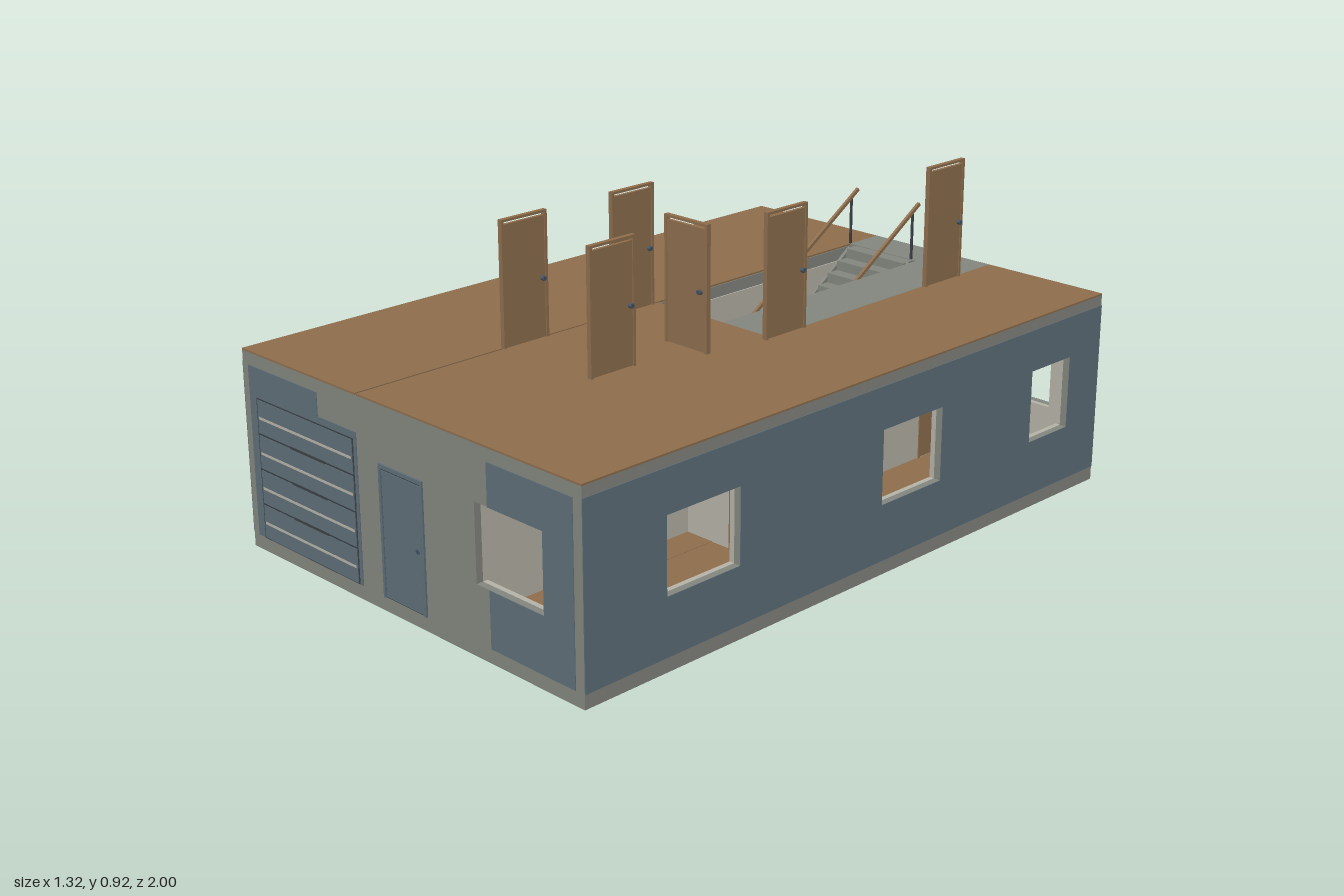
import * as THREE from 'three';

const flat = (name, color) => {
  const m = new THREE.MeshStandardMaterial({ color });
  m.name = name;
  return m;
};

export function createModel() {
  const grey = flat('wallGrey', 0x858780);
  const blue = flat('slateBlue', 0x60707a);
  const brown = flat('woodBrown', 0x8f6f4e);
  const cream = flat('plasterCream', 0xb7b4a8);
  const dark = flat('darkMetal', 0x3c4248);
  const knobBlue = flat('knobBlue', 0x48586a);

  const house = new THREE.Group();
  house.name = 'houseFloors';

  // Box given by its two corners
  function box(parent, name, mat, x0, y0, z0, x1, y1, z1) {
    const m = new THREE.Mesh(new THREE.BoxGeometry(x1 - x0, y1 - y0, z1 - z0), mat);
    m.position.set((x0 + x1) / 2, (y0 + y1) / 2, (z0 + z1) / 2);
    m.name = name;
    parent.add(m);
    return m;
  }

  // Rectangle [x0, y0, x1, y1] minus windows, as smaller rectangles
  function cut(r, holes) {
    const [h, ...rest] = holes;
    if (!h) return [r];
    const a = Math.max(r[0], h[0]), b = Math.min(r[2], h[2]);
    if (a >= b) return cut(r, rest);
    return [
      [r[0], r[1], a, r[3]], [b, r[1], r[2], r[3]],
      [a, r[1], b, h[1]], [a, h[3], b, r[3]],
    ].filter(q => q[2] - q[0] > 1e-4 && q[3] - q[1] > 1e-4).flatMap(q => cut(q, rest));
  }

  function wallLayer(parent, name, mat, half, y0, y1, z, depth, holes) {
    const s = new THREE.Shape();
    s.moveTo(-half, y0).lineTo(half, y0).lineTo(half, y1).lineTo(-half, y1).closePath();
    for (const [a, b, c, d] of holes) {
      const p = new THREE.Path();
      p.moveTo(a, b).lineTo(a, d).lineTo(c, d).lineTo(c, b).closePath();
      s.holes.push(p);
    }
    const m = new THREE.Mesh(new THREE.ExtrudeGeometry(s, { depth, bevelEnabled: false }), mat);
    m.position.z = z;
    m.name = name;
    parent.add(m);
  }

  // Outer wall: grey shell, cream lining and thin painted panels
  function outerWall(name, turn, dist, half, holes, paint) {
    const g = new THREE.Group();
    g.name = name;
    g.rotation.y = turn;
    wallLayer(g, 'shell', grey, half, 0.001, 0.56, dist - 0.02, 0.02, holes);
    wallLayer(g, 'lining', cream, half - 0.022, 0.04, 0.525, dist - 0.035, 0.015, holes);
    for (const r of paint) for (const q of cut(r, holes))
      box(g, 'paintedPanel', blue, q[0], q[1], dist, q[2], q[3], dist + 0.002);
    house.add(g);
  }
  const W = 0.66, Z = 0.995;
  outerWall('frontWall', 0, Z, W, [[0.28, 0.195, 0.525, 0.41]],
    [[-0.635, 0.04, -0.335, 0.525], [-0.335, 0.04, -0.175, 0.46], [0.33, 0.04, 0.63, 0.525]]);
  outerWall('backWall', Math.PI, Z, W,
    [[-0.525, 0.195, -0.28, 0.41], [0.34, 0.195, 0.585, 0.41]], [[-0.63, 0.04, -0.33, 0.525]]);
  outerWall('rightWall', Math.PI / 2, W, Z,
    [[-0.73, 0.2, -0.48, 0.41], [0.05, 0.2, 0.29, 0.41], [0.68, 0.2, 0.855, 0.41]],
    [[-Z, 0.04, Z, 0.53]]);
  outerWall('leftWall', -Math.PI / 2, W, Z,
    [[-0.8, 0.31, -0.68, 0.41], [-0.29, 0.2, -0.05, 0.41], [0.56, 0.28, 0.74, 0.41]],
    [[-0.25, 0.04, 0.33, 0.53], [0.665, 0.04, Z, 0.53]]);

  // Ground floor
  box(house, 'baseSlab', grey, -W, 0, -Z, W, 0.034, Z);
  box(house, 'leftGroundFloor', brown, -0.64, 0.034, -0.97, -0.17, 0.04, 0.97);
  box(house, 'rightGroundFloor', brown, 0.26, 0.034, -0.97, 0.64, 0.04, 0.97);
  box(house, 'hallGroundFloor', grey, -0.17, 0.034, -0.97, 0.26, 0.04, 0.97);
  box(house, 'frontRoomFloor', brown, 0.165, 0.035, 0.165, 0.26, 0.041, 0.97);

  // Inner walls
  for (const [x0, z0, x1, z1] of [
    [-0.17, -0.97, -0.17, 0.97], [0.26, -0.97, 0.26, 0.165], [0.165, 0.165, 0.165, 0.97],
    [0.165, 0.165, 0.64, 0.165], [-0.64, 0.33, -0.17, 0.33],
  ]) box(house, 'innerWall', cream, x0 - 0.004, 0.04, z0 - 0.004, x1 + 0.004, 0.525, z1 + 0.004);

  // Upper slab around the stairwell, then its coverings
  const slab = (x0, z0, x1, z1) => box(house, 'upperSlab', grey, x0, 0.525, z0, x1, 0.56, z1);
  slab(-0.645, -0.98, -0.17, 0.98);
  slab(0.085, -0.98, 0.645, 0.98);
  slab(-0.17, -0.05, 0.085, 0.98);
  slab(-0.17, -0.98, 0.085, -0.87);
  const cover = (name, mat, x0, z0, x1, z1) => box(house, name, mat, x0, 0.56, z0, x1, 0.565, z1);
  cover('leftUpperFloor', brown, -W, -Z, -0.173, Z);
  cover('rightUpperFloor', brown, 0.26, -Z, W, Z);
  cover('middleUpperFloor', brown, -0.167, -0.05, 0.26, Z);
  cover('landing', grey, 0.085, -Z, 0.26, -0.05);
  cover('stairHead', grey, -0.173, -Z, 0.085, -0.87);

  // Stairs climbing to the back
  const stairs = new THREE.Group();
  stairs.name = 'stairs';
  const steps = 18, run = 0.0425, rise = 0.525 / steps;
  for (let i = 0; i < steps; i++) {
    const z = -0.1 - i * run, y = 0.04 + (i + 1) * rise;
    box(stairs, 'step', grey, -0.145, y - rise, z - run, 0.075, y, z);
  }
  const slope = Math.atan2(0.525, steps * run);
  for (const x of [-0.15, 0.078]) {
    const s = box(stairs, 'stringer', grey, x - 0.005, 0, 0, x + 0.005, 0.04, 0.9);
    s.position.set(x, 0.295, -0.48);
    s.rotation.x = slope;
  }
  // Handrails and their posts
  const railY = z => 0.565 + 0.645 * (-0.61 - z);
  for (const x of [-0.155, 0.082]) {
    const rail = box(stairs, 'handrail', brown, 0, 0, 0, 0.009, 0.01, 0.96);
    rail.position.set(x, railY(-0.475), -0.475);
    rail.rotation.x = Math.atan(0.645);
    for (const z of [-0.12, -0.363, -0.606, -0.85])
      box(stairs, 'railPost', dark, x - 0.003, railY(z) - 0.145, z - 0.003, x + 0.003, railY(z), z + 0.003);
  }
  house.add(stairs);

  function knob(parent, x, y, reach, z = 0) {
    for (const [r, len, mat] of [[0.003, reach * 2, dark], [0.007, 0.01, knobBlue]])
      for (const s of len === 0.01 ? [-1, 1] : [1]) {
        const k = new THREE.Mesh(new THREE.CylinderGeometry(r, r, len, 12), mat);
        k.rotation.x = Math.PI / 2;
        k.position.set(x, y, len === 0.01 ? z + s * (reach - 0.005) : z);
        k.name = 'knob';
        parent.add(k);
      }
  }

  // Inner doors with frame; the turned ones have the knob to the back
  function door(x, y, z, turned) {
    const g = new THREE.Group();
    g.name = 'innerDoor';
    for (const s of [-1, 1])
      box(g, 'doorPost', brown, s * 0.074 - 0.004, 0, -0.007, s * 0.074 + 0.004, 0.35, 0.007);
    box(g, 'doorHeader', brown, -0.07, 0.343, -0.007, 0.07, 0.35, 0.007);
    box(g, 'doorLeaf', brown, -0.069, 0.002, -0.005, 0.069, 0.336, 0.005);
    knob(g, 0.057, 0.167, 0.018);
    g.position.set(x, y, z);
    if (turned) g.rotation.y = Math.PI / 2;
    house.add(g);
  }
  for (const [x, z] of [[0.265, -0.765], [0.265, -0.1], [-0.17, 0.047], [-0.17, 0.437], [0.165, 0.437]])
    door(x, 0.565, z, true);
  door(0.163, 0.565, 0.165, false);
  for (const [x, z] of [[0.26, -0.035], [0.165, 0.437], [0.26, -0.765], [-0.17, 0.047]])
    door(x, 0.04, z, true);
  door(0.403, 0.04, 0.165, false);

  // Garage door
  const garage = new THREE.Group();
  garage.name = 'garageDoor';
  box(garage, 'garageBacking', dark, -0.605, 0.04, Z, -0.187, 0.441, 0.9975);
  for (let i = 0; i < 4; i++) {
    const y = 0.043 + i * 0.1;
    box(garage, 'garagePanel', blue, -0.6, y, Z, -0.192, y + 0.094, 0.999);
    box(garage, 'garageStripe', cream, -0.595, y + 0.04, 0.9985, -0.197, y + 0.047, 1);
    if (i) box(garage, 'garageHandle', dark, -0.46, y - 0.006, 0.9975, -0.31, y + 0.001, 1);
  }
  house.add(garage);

  // Entrance door
  const entry = new THREE.Group();
  entry.name = 'entranceDoor';
  box(entry, 'entryBacking', dark, -0.082, 0.04, Z, 0.082, 0.4, 0.996);
  for (const s of [-1, 1])
    box(entry, 'entryPost', blue, s * 0.082 - 0.004, 0.04, Z, s * 0.082 + 0.004, 0.404, 1);
  box(entry, 'entryHeader', blue, -0.08, 0.393, Z, 0.08, 0.404, 1);
  box(entry, 'entryLeaf', blue, -0.075, 0.043, Z, 0.075, 0.388, 0.998);
  knob(entry, 0.06, 0.21, 0.009, 0.991);
  house.add(entry);

  return house;
}
